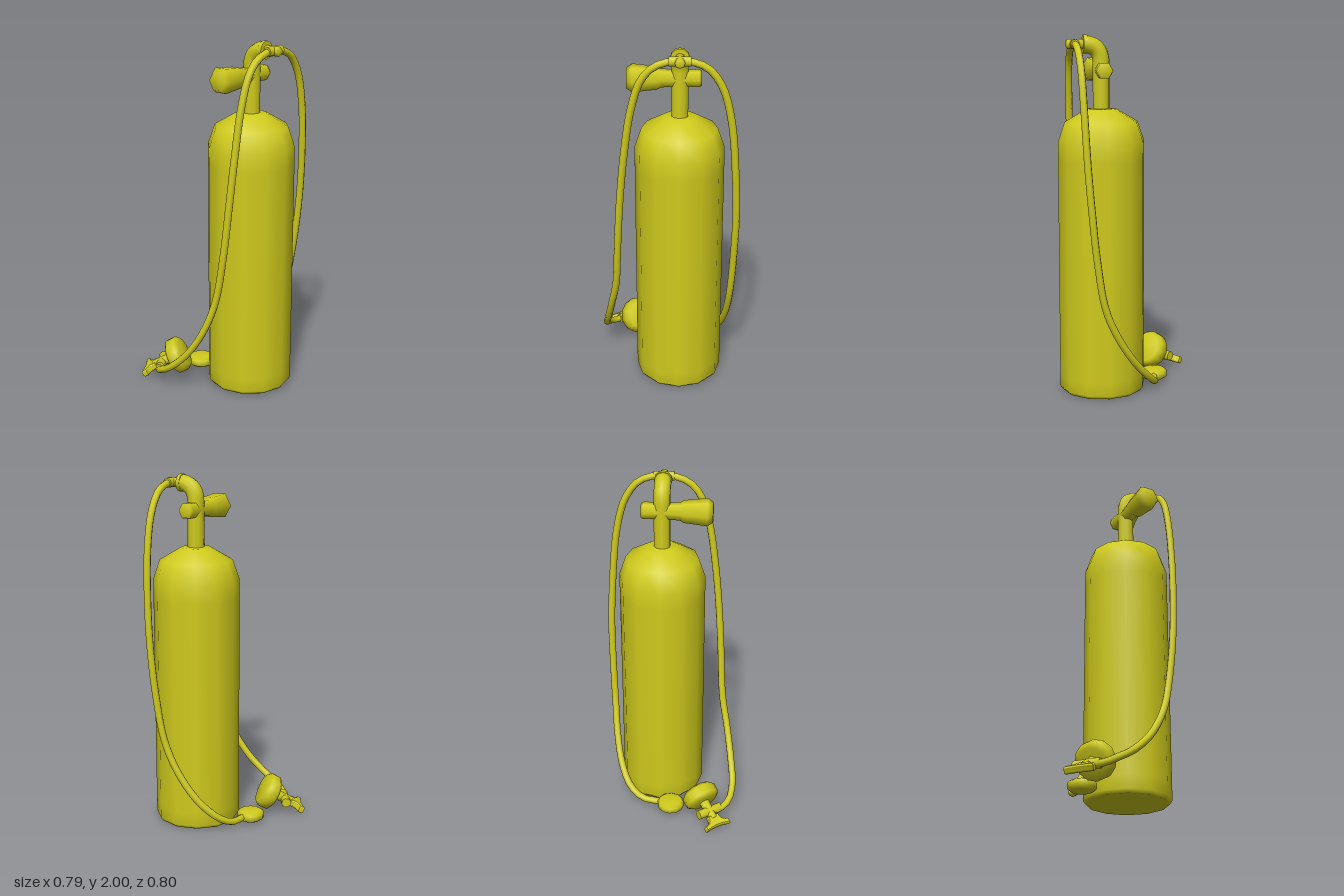
import * as THREE from 'three';

const mat = new THREE.MeshStandardMaterial({ color: 0xcfca1c, side: THREE.DoubleSide });
const V = (x, y, z) => new THREE.Vector3(x, y, z);

function add(parent, name, geometry, x = 0, y = 0, z = 0) {
  const mesh = new THREE.Mesh(geometry, mat);
  mesh.name = name;
  mesh.position.set(x, y, z);
  parent.add(mesh);
  return mesh;
}

// Turned solid from [radius, height] pairs listed from bottom to top
function turned(points, sides) {
  return new THREE.LatheGeometry(points.map(([r, h]) => new THREE.Vector2(r, h)), sides);
}

// Smooth hose through a list of points
function hose(parent, name, points) {
  const curve = new THREE.CatmullRomCurve3(points.map(p => V(...p)));
  return add(parent, name, new THREE.TubeGeometry(curve, 48, 0.02, 8));
}

export function createModel() {
  const model = new THREE.Group();
  const cx = 0.06, cz = 0.15;

  // Cylinder body with rounded shoulder
  add(model, 'tank', turned([[0, 0.005], [0.228, 0.005], [0.243, 0.025], [0.243, 0.1], [0.243, 1.32],
    [0.243, 1.42], [0.205, 1.53], [0.085, 1.6], [0, 1.605]], 12), cx, 0, cz);

  // Valve neck bending towards the front
  const neck = new THREE.CurvePath();
  neck.add(new THREE.LineCurve3(V(cx, 1.57, cz), V(cx, 1.85, cz)));
  neck.add(new THREE.QuadraticBezierCurve3(V(cx, 1.85, cz), V(cx, 1.952, cz), V(cx, 1.952, 0.25)));
  add(model, 'valveNeck', new THREE.TubeGeometry(neck, 24, 0.047, 10));

  // Cross valve with flared hand knob
  const knob = add(model, 'valveKnob', turned([[0, -0.115], [0.04, -0.115], [0.048, -0.1], [0.044, 0],
    [0.05, 0.1], [0.062, 0.12], [0.076, 0.25], [0.055, 0.28], [0, 0.28]], 6), cx, 1.81, cz - 0.002);
  knob.rotation.z = Math.PI / 2;

  // First stage: collar, stem and hose crossbar
  const stage = new THREE.Group();
  stage.name = 'firstStage';
  stage.position.set(cx, 1.952, 0);
  model.add(stage);
  const collar = new THREE.CylinderGeometry(0.05, 0.05, 0.022, 12).rotateX(Math.PI / 2);
  add(stage, 'collar', collar, 0, 0, 0.24);
  const stem = turned([[0, 0], [0.027, 0], [0.027, 0.085], [0.02, 0.095], [0, 0.095]], 8).rotateX(Math.PI / 2);
  add(stage, 'stem', stem, 0, 0, 0.248);
  const bar = new THREE.CylinderGeometry(0.027, 0.027, 0.115, 8).rotateZ(Math.PI / 2);
  add(stage, 'crossbar', bar, 0, 0, 0.3);

  // Hoses on both sides
  hose(model, 'leftHose', [[0.08, 1.952, 0.3], [0.14, 1.945, 0.3], [0.21, 1.91, 0.298], [0.28, 1.81, 0.295],
    [0.33, 1.62, 0.29], [0.36, 1.3, 0.275], [0.37, 1.05, 0.255], [0.365, 0.8, 0.228], [0.352, 0.53, 0.18],
    [0.335, 0.35, 0.1], [0.3, 0.2, 0], [0.24, 0.1, -0.09], [0.16, 0.05, -0.137], [0.05, 0.042, -0.155]]);
  hose(model, 'rightHose', [[0.04, 1.952, 0.3], [-0.02, 1.945, 0.3], [-0.09, 1.91, 0.3], [-0.145, 1.84, 0.298],
    [-0.195, 1.68, 0.292], [-0.235, 1.42, 0.283], [-0.262, 1.15, 0.268], [-0.28, 0.88, 0.245],
    [-0.297, 0.6, 0.2], [-0.33, 0.42, 0.14], [-0.36, 0.26, 0.04], [-0.377, 0.15, -0.08],
    [-0.362, 0.1, -0.17], [-0.33, 0.078, -0.215], [-0.28, 0.075, -0.258]]);

  // Round gauge lying on the ground
  add(model, 'gauge', turned([[0, 0.012], [0.06, 0.014], [0.078, 0.028], [0.078, 0.058],
    [0.06, 0.07], [0, 0.072]], 12), -0.01, 0, -0.17);

  // Breathing regulator, tilted, cover facing local +z
  const regulator = new THREE.Group();
  regulator.name = 'regulator';
  regulator.position.set(-0.19, 0.13, -0.19);
  regulator.lookAt(-0.19 + 0.516, 0.13 + 0.454, -0.19 + 0.721);
  model.add(regulator);
  const cover = turned([[0, -0.05], [0.075, -0.05], [0.105, -0.03], [0.107, 0.02],
    [0.085, 0.043], [0, 0.048]], 12).rotateX(Math.PI / 2);
  add(regulator, 'regulatorBody', cover);
  const tee = new THREE.CylinderGeometry(0.028, 0.028, 0.15, 8).rotateZ(Math.PI / 2);
  add(regulator, 'exhaustTee', tee, 0, 0, -0.11);
  const spout = new THREE.CylinderGeometry(0.032, 0.026, 0.13, 8).rotateX(Math.PI / 2);
  add(regulator, 'spout', spout, 0, 0, -0.1);

  // Mouthpiece: a neck flaring out to a bite plate with a curved edge
  const flare = new THREE.Shape();
  flare.moveTo(-0.032, 0.15);
  flare.quadraticCurveTo(-0.028, 0.192, -0.076, 0.2);
  flare.lineTo(-0.076, 0.22);
  flare.quadraticCurveTo(0, 0.2, 0.076, 0.22);
  flare.lineTo(0.076, 0.2);
  flare.quadraticCurveTo(0.028, 0.192, 0.032, 0.15);
  const plate = new THREE.ExtrudeGeometry(flare, { depth: 0.024, bevelSize: 0.005, bevelThickness: 0.008, bevelSegments: 1, curveSegments: 5 });
  plate.translate(0, 0, -0.012).rotateX(-Math.PI / 2);
  add(regulator, 'mouthpiece', plate);

  return model;
}
